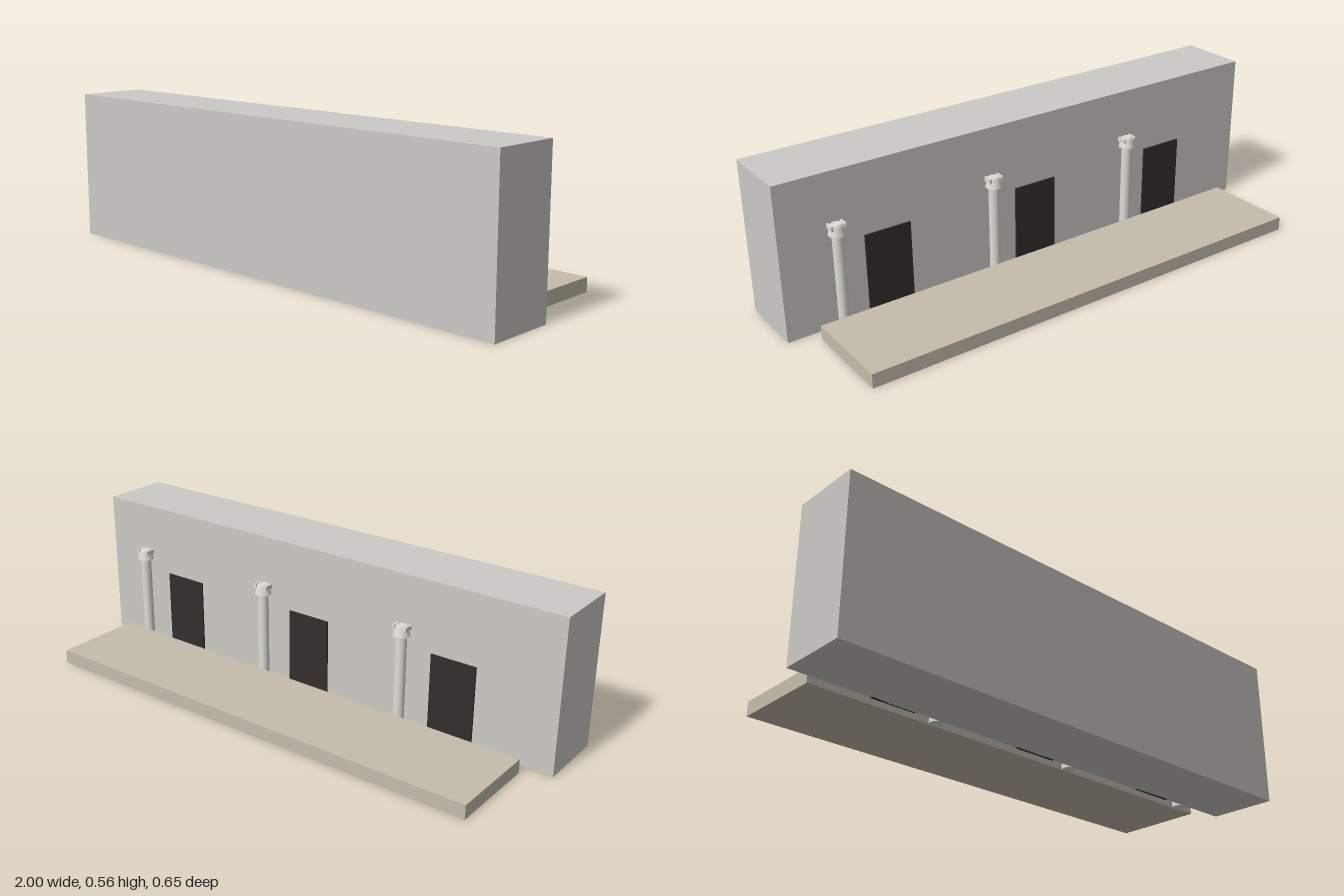
import * as THREE from 'three';

const mat = (color) => new THREE.MeshStandardMaterial({ color });

export function createModel() {
  const model = new THREE.Group();
  const wallMat = mat(0xcccac5), paving = mat(0xc4bdad), dark = mat(0x322e2b), stone = mat(0xdddcd6);

  const add = (parent, name, geometry, material, x, y, z) => {
    const mesh = new THREE.Mesh(geometry, material);
    mesh.name = name;
    mesh.position.set(x, y, z);
    parent.add(mesh);
    return mesh;
  };
  // Box given by its size and the centre of its underside
  const box = (parent, name, w, h, d, material, x, y, z) =>
    add(parent, name, new THREE.BoxGeometry(w, h, d), material, x, y + h / 2, z);
  // Round drum standing on height y
  const drum = (parent, name, top, bottom, h, y) =>
    add(parent, name, new THREE.CylinderGeometry(top, bottom, h, 24), stone, 0, y + h / 2, 0);

  // Main wall block and the low terrace behind it
  box(model, 'wall', 2, 0.565, 0.26, wallMat, 0, 0, 0.196);
  box(model, 'terrace', 1.8, 0.052, 0.346, paving, 0, 0, -0.153);

  // Three bays, each with a dark doorway and a column beside it
  for (const x of [-0.609, 0, 0.609]) {
    box(model, 'doorway', 0.174, 0.305, 0.012, dark, x, 0, 0.066);

    const column = new THREE.Group();
    column.name = 'column';
    column.position.set(x + 0.194, 0, 0.04);
    drum(column, 'base', 0.027, 0.027, 0.022, 0);
    drum(column, 'shaft', 0.02, 0.02, 0.34, 0.02);
    drum(column, 'capital', 0.023, 0.031, 0.034, 0.353);
    drum(column, 'abacus', 0.018, 0.02, 0.005, 0.386);
    // Small blocks on both sides of the capital
    for (const side of [-1, 1])
      box(column, 'capitalBlock', 0.008, 0.017, 0.036, stone, side * 0.024, 0.374, 0);
    model.add(column);
  }
  return model;
}
